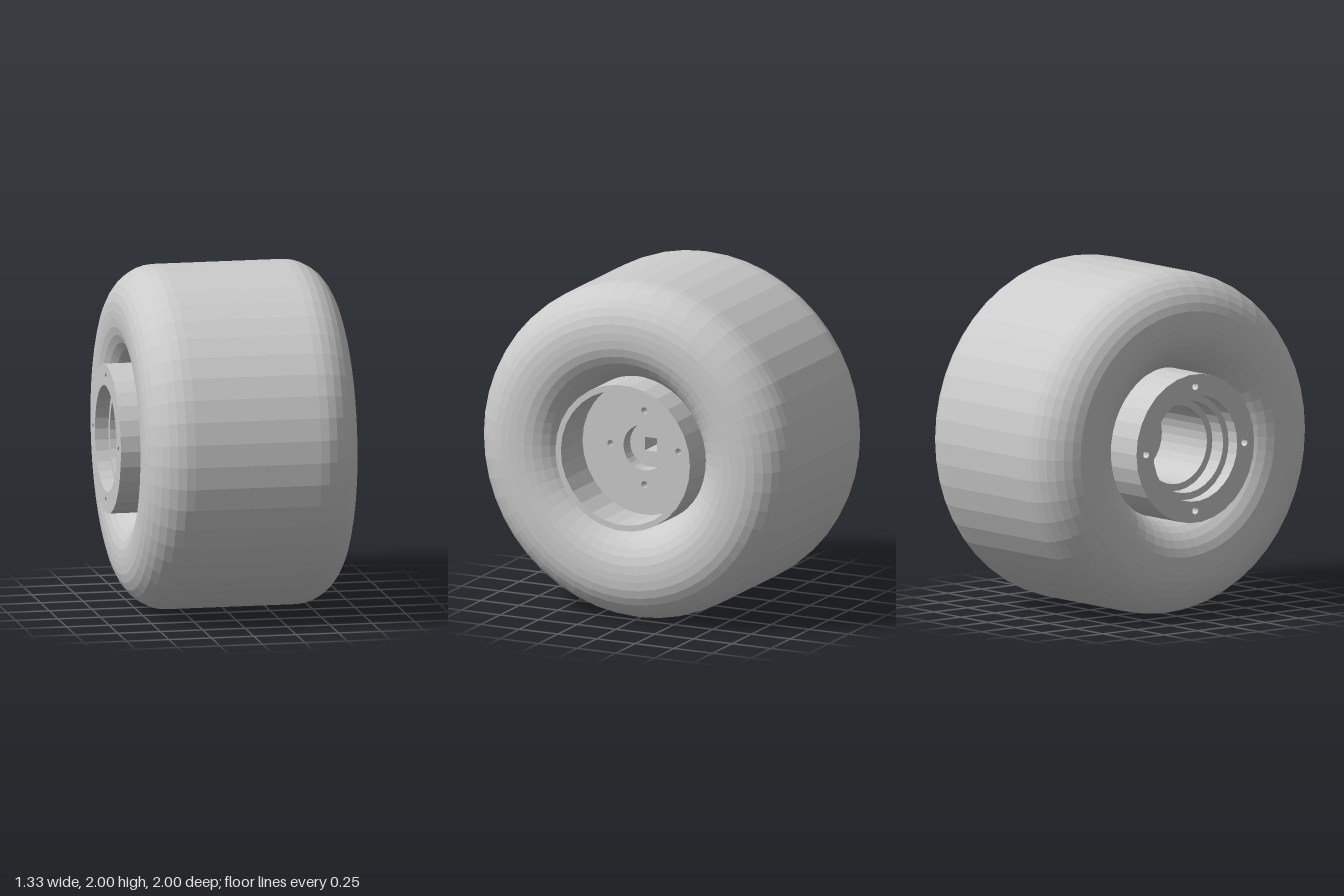
import * as THREE from 'three';

const SIDES = 30;
const material = new THREE.MeshStandardMaterial({ color: 0xcccccc, flatShading: true });

// Points on a rounded corner in the (radius, x) plane
function corner(cr, cx, radius, from, to, steps = 8) {
  return Array.from({ length: steps + 1 }, (_, i) => {
    const a = THREE.MathUtils.degToRad(from + (to - from) * i / steps);
    return [cr + radius * Math.cos(a), cx + radius * Math.sin(a)];
  });
}

// Revolve [radius, x] pairs about the x axis
function turned(profile, sides = SIDES) {
  const points = profile.map(([r, x]) => new THREE.Vector2(r, x));
  return new THREE.LatheGeometry(points, sides).rotateZ(-Math.PI / 2);
}

function ringPoints(r, sides, u = 0, v = 0, phase = 0) {
  return Array.from({ length: sides }, (_, i) => {
    const a = phase + i / sides * Math.PI * 2;
    return new THREE.Vector2(u + r * Math.cos(a), v + r * Math.sin(a));
  });
}

// Flat round face across the x axis, facing +x (dir 1) or -x (dir -1)
function face(r, x, dir, holes = []) {
  const shape = new THREE.Shape(ringPoints(r, SIDES));
  shape.holes = holes.map((points) => new THREE.Path(points));
  return new THREE.ShapeGeometry(shape).rotateY(dir * Math.PI / 2).translate(x, 0, 0);
}

export function createModel() {
  const model = new THREE.Group();
  model.name = 'wheel';
  const axle = new THREE.Group();
  axle.name = 'wheelAssembly';
  axle.position.y = 1;
  model.add(axle);

  const add = (name, geometry) => {
    const mesh = new THREE.Mesh(geometry, material);
    mesh.name = name;
    axle.add(mesh);
    return mesh;
  };

  // Fat tyre with rounded shoulders and rounded inner lips
  const c = 0.26, rim = 0.435;
  add('tyre', turned([
    ...corner(rim + c, -0.34, c, 270, 270 - 90).map(([r, x], i) => {
      // inner lip sweeps from the rim out to the side wall
      const a = i / 8 * Math.PI / 2;
      return [rim + c - c * Math.cos(a), -0.34 - c * Math.sin(a)];
    }),
    ...corner(1 - c, -0.34, c, -90, 0),
    ...corner(1 - c, 0.4, c, 0, 90),
    ...corner(rim + c, 0.4, c, 90, 180),
  ], 48));

  // Rim barrel with a thin-walled cup on the +x side
  const xBack = -0.667, xFront = 0.664, xDisc = 0.385, xPlate = 0.3, xFloor = -0.07;
  add('rimBarrel', turned([[rim, xBack], [rim, xFront], [0.4, xFront], [0.4, xDisc]]));
  add('hubRecess', turned([[0.135, xDisc], [0.135, xPlate]]));

  // Stepped bearing bore on the -x side
  add('steppedBore', turned([
    [0.23, xFloor], [0.23, -0.487], [0.27, -0.487], [0.27, -0.587], [0.31, -0.587], [0.31, xBack],
  ]));

  // Blind holes, four around the axis
  const holeRings = (dist, r) => [0, 1, 2, 3].map((i) => {
    const a = i * Math.PI / 2;
    return ringPoints(r, 12, dist * Math.cos(a), dist * Math.sin(a));
  });
  const blindHoles = (name, dist, r, xOpen, xEnd) => {
    // the wall profile runs so that its faces look inwards
    const lo = Math.min(xOpen, xEnd), hi = Math.max(xOpen, xEnd);
    const profile = [[r, hi], [r, lo]];
    if (xEnd < xOpen) profile.push([0, lo]);
    else profile.unshift([0, hi]);
    // floors must face the opening
    const wall = turned([[r, hi], [r, lo]], 12);
    const floor = new THREE.CircleGeometry(r, 12)
      .rotateY(Math.sign(xOpen - xEnd) * Math.PI / 2).translate(xEnd, 0, 0);
    for (let i = 0; i < 4; i++) {
      const a = i * Math.PI / 2;
      for (const g of [wall, floor]) {
        add(name, g).position.set(0, dist * Math.sin(a), dist * Math.cos(a));
      }
    }
  };
  blindHoles('discHole', 0.22, 0.02, xDisc, xPlate);
  blindHoles('boltHole', 0.363, 0.022, xBack, xBack + 0.2);

  // Faces pierced by the holes
  add('cupDisc', face(0.4, xDisc, 1, [ringPoints(0.135, SIDES), ...holeRings(0.22, 0.02)]));
  add('boltFace', face(rim, xBack, -1, [ringPoints(0.31, SIDES), ...holeRings(0.363, 0.022)]));

  // Square drive hole through the centre
  const half = 0.04 * Math.SQRT2;
  const square = ringPoints(half, 4, 0, 0, Math.PI / 4);
  add('recessPlate', face(0.135, xPlate, 1, [square]));
  add('boreFloor', face(0.23, xFloor, -1, [square]));
  add('squareDriveHole', turned([[half, xPlate], [half, xFloor]], 4).rotateX(Math.PI / 4));

  return model;
}
